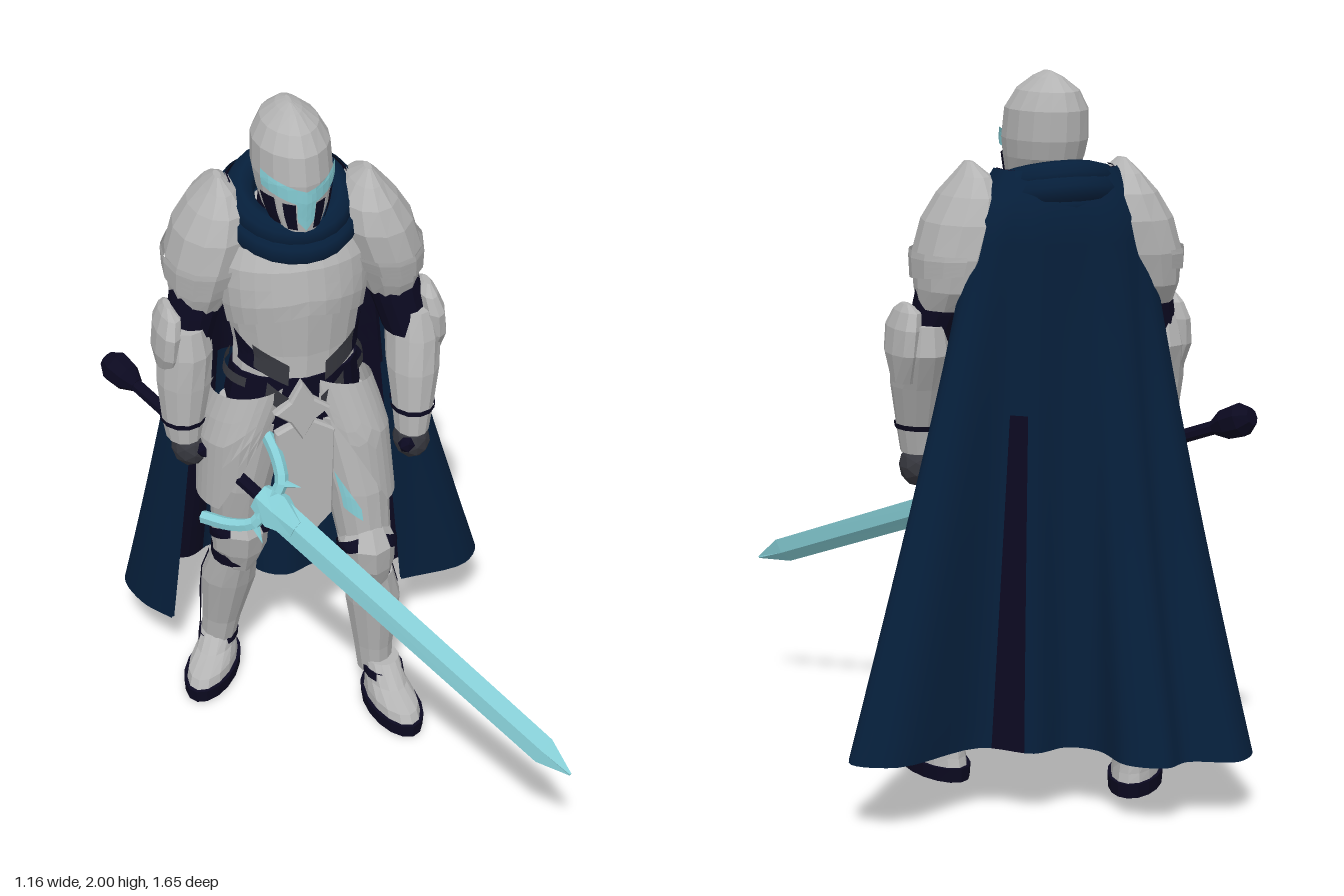
import * as THREE from 'three';

const mat = (name, color, flatShading = true) =>
  new THREE.MeshStandardMaterial({ name, color, flatShading, side: THREE.DoubleSide });

export function createModel() {
  const root = new THREE.Group();
  const steel = mat('steel', 0xb4b4b4), cloth = mat('blue cloth', 0x061f3b, false);
  const dark = mat('dark undersuit', 0x0b0920), glow = mat('pale cyan', 0x86ced6);
  const leather = mat('dark grey leather', 0x36373e);

  const add = (geo, m, name, parent = root) => {
    const mesh = new THREE.Mesh(geo, m);
    mesh.name = name;
    parent.add(mesh);
    return mesh;
  };

  // Surface grid: u runs to the right, v runs up
  const grid = (f, nu, nv) => {
    const pos = [], idx = [];
    for (let j = 0; j <= nv; j++) for (let i = 0; i <= nu; i++) pos.push(...f(i / nu, j / nv));
    for (let j = 0; j < nv; j++) for (let i = 0; i < nu; i++) {
      const a = j * (nu + 1) + i, b = a + 1, c = a + nu + 1, d = c + 1;
      idx.push(a, b, d, a, d, c);
    }
    const g = new THREE.BufferGeometry();
    g.setAttribute('position', new THREE.Float32BufferAttribute(pos, 3));
    g.setIndex(idx);
    g.computeVertexNormals();
    return g;
  };

  // A point on an elliptical ring [cx, y, cz, rx, rz]; angle 0 faces +z, ridge sharpens the front
  const ring = ([cx, y, cz, rx, rz], a, ridge = 0, off = 0) => {
    const k = 1 + ridge * Math.max(0, Math.cos(a)) ** 12;
    return [cx + (rx + off) * Math.sin(a), y, cz + (rz + off) * k * Math.cos(a)];
  };
  // Closed solid through rings listed from the bottom up
  const loft = (name, m, rows, n = 14, ridge = 0, parent = root) => {
    const close = ([x, y, z]) => [x, y, z, 0, 0];
    const all = [close(rows[0]), ...rows, close(rows[rows.length - 1])];
    const last = all.length - 1;
    return add(grid((u, v) => ring(all[Math.round(v * last)], u * Math.PI * 2, ridge), n, last), m, name, parent);
  };
  const rowAt = (rows, y) => {
    let i = 0;
    while (i < rows.length - 2 && y > rows[i + 1][1]) i++;
    const t = (y - rows[i][1]) / (rows[i + 1][1] - rows[i][1]);
    return rows[i].map((p, k) => p + (rows[i + 1][k] - p) * t);
  };
  // Thin plate following a lofted surface between two angles and two height curves
  const plate = (name, m, rows, a0, a1, low, high, off = 0.008, ridge = 0, nu = 8, nv = 4) =>
    add(grid((u, v) => {
      const y = low(u) + (high(u) - low(u)) * v;
      return ring(rowAt(rows, y), a0 + (a1 - a0) * u, ridge, off);
    }, nu, nv), m, name);
  const flat = y => () => y;
  const bow = u => Math.abs(u * 2 - 1);   // 0 in the middle, 1 at both ends

  // Helmet with visor
  const helm = [[-.07, 1.67, -.27, .07, .09], [-.07, 1.72, -.288, .093, .113], [-.07, 1.77, -.308, .105, .14], [-.07, 1.82, -.316, .112, .15],
    [-.07, 1.9, -.326, .108, .145], [-.07, 1.95, -.335, .08, .118], [-.07, 1.985, -.338, .035, .068], [-.07, 2, -.338, .006, .025]];
  loft('helmet', steel, helm, 16, .05);
  plate('visorSlit', glow, helm, -1.12, 1.12, u => 1.76 + .04 * bow(u), u => 1.808 + .04 * bow(u), .007, .05, 10);
  plate('visorNose', glow, helm, -.24, .24, u => 1.68 + .03 * bow(u), flat(1.8), .008, .05, 4);
  for (const s of [-1, 1]) {
    plate('cheekGap', dark, helm, s * .27, s * .6, flat(1.68), flat(1.765), .005, .05, 3);
    plate('cheekGap', dark, helm, s * .8, s * 1.25, flat(1.69), flat(1.775), .005, .05, 3);
  }
  loft('neck', dark, [[-.07, 1.6, -.34, .1, .11], [-.07, 1.74, -.34, .085, .09]]);

  // Scarf folds
  for (const [y, r, tube] of [[1.565, .12, .045], [1.605, .145, .045], [1.65, .155, .045], [1.69, .14, .042]]) {
    const fold = add(new THREE.TorusGeometry(r, tube, 8, 24), cloth, 'scarfFold');
    fold.rotation.x = Math.PI / 2 + .32;
    fold.scale.y = 1.06;
    fold.position.set(-.065, y, -.36);
  }

  // Torso armour
  const chest = [[-.075, 1.19, -.305, .18, .135], [-.07, 1.27, -.31, .178, .138], [-.07, 1.34, -.315, .19, .148], [-.07, 1.45, -.32, .21, .16],
    [-.07, 1.56, -.33, .205, .15], [-.07, 1.64, -.35, .16, .12], [-.07, 1.68, -.36, .1, .09]];
  const hips = [[-.08, .93, -.3, .13, .11], [-.08, 1, -.3, .18, .14], [-.08, 1.1, -.3, .2, .142],
    [-.075, 1.2, -.3, .185, .142]];
  loft('cuirass', steel, chest, 16, .05);
  plate('breastplate', steel, chest, -1.4, 1.4, u => 1.42 - .07 * bow(u), flat(1.6), .012, .05, 12);
  loft('pelvis', dark, hips);
  for (const s of [-1, 1]) {
    plate('waistGap', dark, chest, s * 1.25, s * .25, u => 1.24 - .04 * u, u => 1.34 - .14 * u, .008, .05);
    plate('strap', leather, chest, s * .85, s * .28, u => 1.235 - .05 * u, u => 1.31 - .06 * u, .014, .05);
    plate('hipBelt', leather, hips, s * 2.2, s * .95, flat(1.17), flat(1.2), .016);
    plate('strapEnd', leather, hips, s * .6, s * .2, u => 1.15 - .07 * u, u => 1.2 - .06 * u, .014);
  }

  // Star buckle and pointed front plate
  const slab = (name, pts, z) => {
    const shape = new THREE.Shape(pts.map(p => new THREE.Vector2(...p)));
    const m = add(new THREE.ExtrudeGeometry(shape, { depth: .02, bevelSize: .006, bevelThickness: .008, bevelSegments: 1 }), steel, name);
    m.position.z = z;
  };
  const star = [];
  for (let i = 0; i < 8; i++) {
    const r = i % 2 ? .045 : (i % 4 ? .075 : .09), a = i * Math.PI / 4;
    star.push([-.095 + r * Math.sin(a), 1.11 + r * Math.cos(a)]);
  }
  slab('starBuckle', star, -.155);
  slab('frontPlate', [[-.165, 1.03], [-.16, .72], [-.09, .645], [-.01, .73], [0, 1.02], [-.08, 1.07]], -.17);

  // Hip plates, cut away towards the middle and longest on the outside
  const hem = u => .76 + .34 * Math.max(0, 1 - u / .42) + .1 * Math.max(0, u - .8);
  plate('leftHipPlate', steel, [[.1, .74, -.225, .105, .13], [.07, 1, -.24, .115, .14], [.02, 1.18, -.27, .11, .12]],
    -.75, 2.4, hem, u => 1.19 - .08 * u, 0, 0, 14, 5);
  plate('rightHipPlate', steel, [[-.27, .74, -.31, .1, .125], [-.25, 1, -.3, .11, .15], [-.18, 1.18, -.29, .115, .13]],
    -2.4, .65, u => hem(1 - u), u => 1.1 + .08 * u, 0, 0, 14, 5);

  // Legs: thigh, knee cap, greave and foot on each side
  const legs = {
    left: {
      thigh: [[.11, .48, -.17, .065, .075], [.1, .62, -.175, .08, .09], [.085, .8, -.21, .095, .115], [.04, 1.05, -.27, .11, .13]],
      knee: [[.12, .47, -.155, .05, .065], [.105, .54, -.15, .078, .09], [.1, .62, -.145, .085, .095], [.1, .68, -.16, .06, .07]],
      shin: [[.14, .1, -.19, .052, .058], [.135, .2, -.19, .06, .066], [.13, .38, -.18, .084, .084], [.115, .49, -.165, .07, .078]],
      foot: [.165, -.085, .14], s: 1
    },
    right: {
      thigh: [[-.25, .48, -.35, .065, .075], [-.24, .62, -.34, .08, .09], [-.235, .8, -.32, .095, .115], [-.19, 1.05, -.3, .11, .13]],
      knee: [[-.24, .47, -.34, .05, .065], [-.24, .54, -.335, .082, .09], [-.24, .62, -.32, .085, .095], [-.245, .68, -.32, .06, .07]],
      shin: [[-.285, .1, -.46, .052, .058], [-.275, .2, -.445, .06, .066], [-.26, .38, -.4, .084, .084], [-.25, .49, -.36, .07, .078]],
      foot: [-.318, -.405, -.56], s: -1
    }
  };
  for (const [side, { thigh, knee, shin, foot, s }] of Object.entries(legs)) {
    loft(side + 'Thigh', steel, thigh);
    loft(side + 'KneeCap', steel, knee, 10, .08);
    loft(side + 'Greave', steel, shin, 12, .06);
    plate(side + 'KneeGap', dark, thigh, 0, Math.PI * 2, flat(.49), flat(.53), .006, 0, 14, 1);
    for (const k of [-1, 1])
      plate(side + 'KneeStrap', dark, knee, k * .6, k * 2.5, u => .625 - .08 * u, u => .66 - .08 * u, .006, 0, 8, 2);
    plate(side + 'GreaveSeam', dark, shin, s * 1.75, s * 2.2, flat(.13), flat(.49), .006, 0, 2);
    const g = new THREE.Group();
    g.name = side + 'Foot';
    g.position.set(foot[0], 0, foot[1]);
    g.rotation.y = foot[2];
    root.add(g);
    loft('sole', dark, [[0, 0, 0, .074, .155], [0, .04, 0, .077, .158]], 16, 0, g);
    loft('sabaton', steel, [[0, .04, 0, .067, .147], [0, .065, -.005, .065, .135], [0, .095, -.045, .056, .09], [0, .15, -.08, .052, .06]], 14, 0, g);
    loft('ankleBand', dark, [[0, .105, -.06, .06, .078], [0, .128, -.07, .06, .072]], 14, 0, g);
  }
  plate('thighInlay', glow, legs.left.thigh, -.75, -.2, u => .76 - .04 * u, u => .88 - .12 * u, .006, 0, 4);

  // Shoulders, mirrored about the torso
  for (const [side, s, z] of [['left', 1, -.335], ['right', -1, -.405]]) {
    const rows = [[.275, 1.375, .01, .075, .1], [.268, 1.43, 0, .09, .135], [.25, 1.52, 0, .112, .158], [.222, 1.61, 0, .115, .155],
      [.205, 1.68, 0, .088, .13], [.203, 1.73, 0, .045, .085], [.208, 1.765, .01, .01, .025]];
    const place = r => [-.055 + s * r[0], r[1], z + r[2], r[3], r[4]];
    loft(side + 'Pauldron', steel, rows.map(place), 12);
    plate(side + 'PauldronRim', steel, rows.map(place), s * -.9, s * 2.9, u => 1.45 + .03 * bow(u), flat(1.53), .01);
  }

  // Arms
  const arms = {
    left: {
      upper: [[.255, 1.26, -.27, .07, .08], [.23, 1.36, -.3, .075, .09], [.21, 1.48, -.33, .08, .095]],
      fore: [[.25, .955, -.195, .05, .062], [.255, 1.03, -.205, .06, .072], [.265, 1.15, -.24, .077, .097], [.275, 1.25, -.28, .078, .115], [.275, 1.33, -.29, .062, .095]],
      hand: [.25, .915, -.195], s: 1
    },
    right: {
      upper: [[-.37, 1.26, -.37, .07, .08], [-.345, 1.36, -.38, .075, .09], [-.32, 1.48, -.39, .08, .095]],
      fore: [[-.4, .97, -.32, .052, .062], [-.4, 1.03, -.325, .062, .072], [-.39, 1.15, -.34, .08, .09], [-.38, 1.25, -.36, .08, .11], [-.38, 1.33, -.36, .062, .09]],
      hand: [-.385, .93, -.315], s: -1
    }
  };
  for (const [side, { upper, fore, hand, s }] of Object.entries(arms)) {
    loft(side + 'UpperArm', dark, upper);
    loft(side + 'Vambrace', steel, fore, 12);
    plate(side + 'WristBand', dark, fore, 0, Math.PI * 2, flat(1.025), flat(1.04), .005, 0, 12, 1);
    const [cx, , cz] = fore[3];
    loft(side + 'ElbowGuard', steel, [[cx + s * .05, 1.17, cz, .03, .05], [cx + s * .055, 1.25, cz, .04, .095],
      [cx + s * .05, 1.32, cz, .038, .1], [cx + s * .04, 1.365, cz - .005, .03, .075], [cx + s * .045, 1.385, cz - .01, .01, .03]], 10);
    const fist = add(new THREE.IcosahedronGeometry(1, 1), leather, side + 'Hand');
    fist.scale.set(.055, .06, .065);
    fist.position.set(...hand);
    const thumb = add(new THREE.IcosahedronGeometry(.026, 0), dark, side + 'Thumb');
    thumb.position.set(hand[0] - s * .03, hand[1] + .01, hand[2] + .05);
  }

  // Cape: a folded hem rising to a squared arc around the shoulders, with a lining just inside it
  const fold = [[.3, -.43], [.52, -.46], [.58, -.56], [.47, -.62], [.2, -.53], [.08, -.62], [-.03, -.59], [-.1, -.64],
    [-.125, -.77], [-.22, -.825], [-.3, -.785], [-.43, -.825], [-.515, -.74], [-.49, -.6], [-.42, -.5]];
  const hemLine = new THREE.CatmullRomCurve3(fold.map(([x, z]) => new THREE.Vector3(x, 0, z)));
  const NU = 70, NV = 24;
  const capeGeo = (inset, isDark) => {
    const g = grid((u, v) => {
      const h = hemLine.getPoint(u), a = u * Math.PI, t = (1 - v) ** 1.1, c = Math.cos(a);
      const r = v > .93 ? 1 - (v - .93) * 4 : 1;
      const x = -.07 + .235 * r * Math.sign(c) * Math.abs(c) ** .8, z = -.37 - .19 * r * Math.abs(Math.sin(a)) ** .75;
      return [x + (h.x - x) * t, 1.75 - (1.54 + .05 * u) * t ** .92, z + (h.z - z) * t ** 1.3];
    }, NU, NV);
    const p = g.attributes.position, n = g.attributes.normal;
    for (let i = 0; i < p.count; i++)
      p.setXYZ(i, p.getX(i) - n.getX(i) * inset, p.getY(i), p.getZ(i) - n.getZ(i) * inset);
    for (let j = 0; j < NV; j++) for (let i = 0; i < NU; i++)
      g.addGroup((j * NU + i) * 6, 6, isDark(i / NU, j / NV) ? 1 : 0);
    return g;
  };
  add(capeGeo(0, (u, v) => v < .55 && u > .295 && u < .335), [cloth, dark], 'cape');
  add(capeGeo(.01, (u, v) => v > .5 || Math.abs(u - .25) < .06 || Math.abs(u - .72) < .06), [cloth, dark], 'capeLining');

  // Sword: local y runs towards the tip, local x along the guard
  const sword = new THREE.Group();
  sword.name = 'sword';
  const tip = new THREE.Vector3(.4, .425, .825), pommel = new THREE.Vector3(-.535, 1.055, -.58);
  const dir = tip.clone().sub(pommel).normalize();
  const across = new THREE.Vector3(.54, .84, 0).addScaledVector(dir, -dir.dot(new THREE.Vector3(.54, .84, 0))).normalize();
  sword.quaternion.setFromRotationMatrix(new THREE.Matrix4().makeBasis(across, dir, across.clone().cross(dir)));
  sword.position.copy(pommel).addScaledVector(dir, .62);
  root.add(sword);
  const len = tip.distanceTo(pommel) - .62;
  loft('blade', glow, [[0, 0, 0, .048, .016], [0, len - .1, 0, .042, .013], [0, len, 0, .004, .003]], 4, 0, sword);
  loft('bladeCollar', glow, [[0, -.03, 0, .045, .028], [0, .04, 0, .064, .03], [0, .12, 0, .03, .018]], 6, 0, sword);
  for (const s of [-1, 1]) {
    const horn = new THREE.CatmullRomCurve3([[0, 0], [.07, .005], [.125, -.05], [.17, -.14]].map(([x, y]) => new THREE.Vector3(s * x, y, 0)));
    add(new THREE.TubeGeometry(horn, 10, .02, 6), glow, 'guardHorn', sword);
    const prong = add(new THREE.ConeGeometry(.016, .07, 5), glow, 'guardProng', sword);
    prong.position.set(s * .09, .03, 0);
    prong.rotation.z = -s * .5;
  }
  const grip = add(new THREE.CylinderGeometry(.02, .02, .62, 8), dark, 'grip', sword);
  grip.position.y = -.31;
  loft('pommel', dark, [[0, -.665, 0, .025, .025], [0, -.63, 0, .05, .045], [0, -.58, 0, .045, .04], [0, -.54, 0, .022, .022]], 8, 0, sword);

  return root;
}
